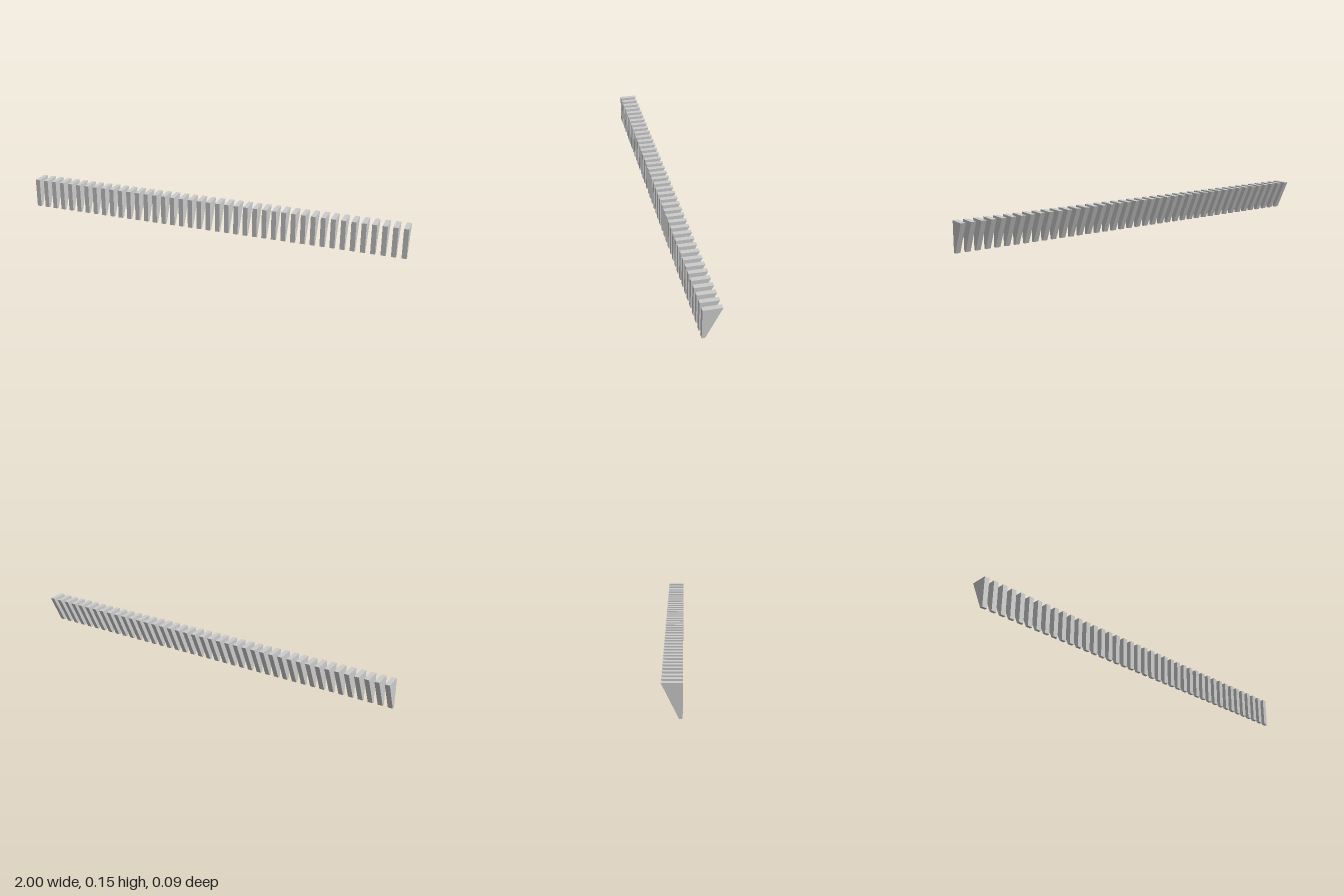
import * as THREE from 'three';

const COUNT = 41;    // blocks in the row
const WIDTH = 0.024; // thickness of one block along x

export function createModel() {
  const group = new THREE.Group();
  group.name = 'dentilRow';
  const material = new THREE.MeshStandardMaterial({ color: 0xcccccc, flatShading: true });

  // Side profile in (z, y): upright front, back sloping in to a narrow foot
  const profile = new THREE.Shape([
    new THREE.Vector2(0.044, 0),
    new THREE.Vector2(0.044, 0.15),
    new THREE.Vector2(-0.044, 0.15),
    new THREE.Vector2(0.029, 0),
  ]);
  const geometry = new THREE.ExtrudeGeometry(profile, { depth: WIDTH, bevelEnabled: false });
  geometry.translate(0, 0, -WIDTH / 2);
  geometry.rotateY(-Math.PI / 2);

  // Evenly spaced blocks along x
  const first = -1 + WIDTH / 2;
  const pitch = (2 - WIDTH) / (COUNT - 1);
  for (let i = 0; i < COUNT; i++) {
    const block = new THREE.Mesh(geometry, material);
    block.name = `block${i + 1}`;
    block.position.x = first + i * pitch;
    group.add(block);
  }
  return group;
}
